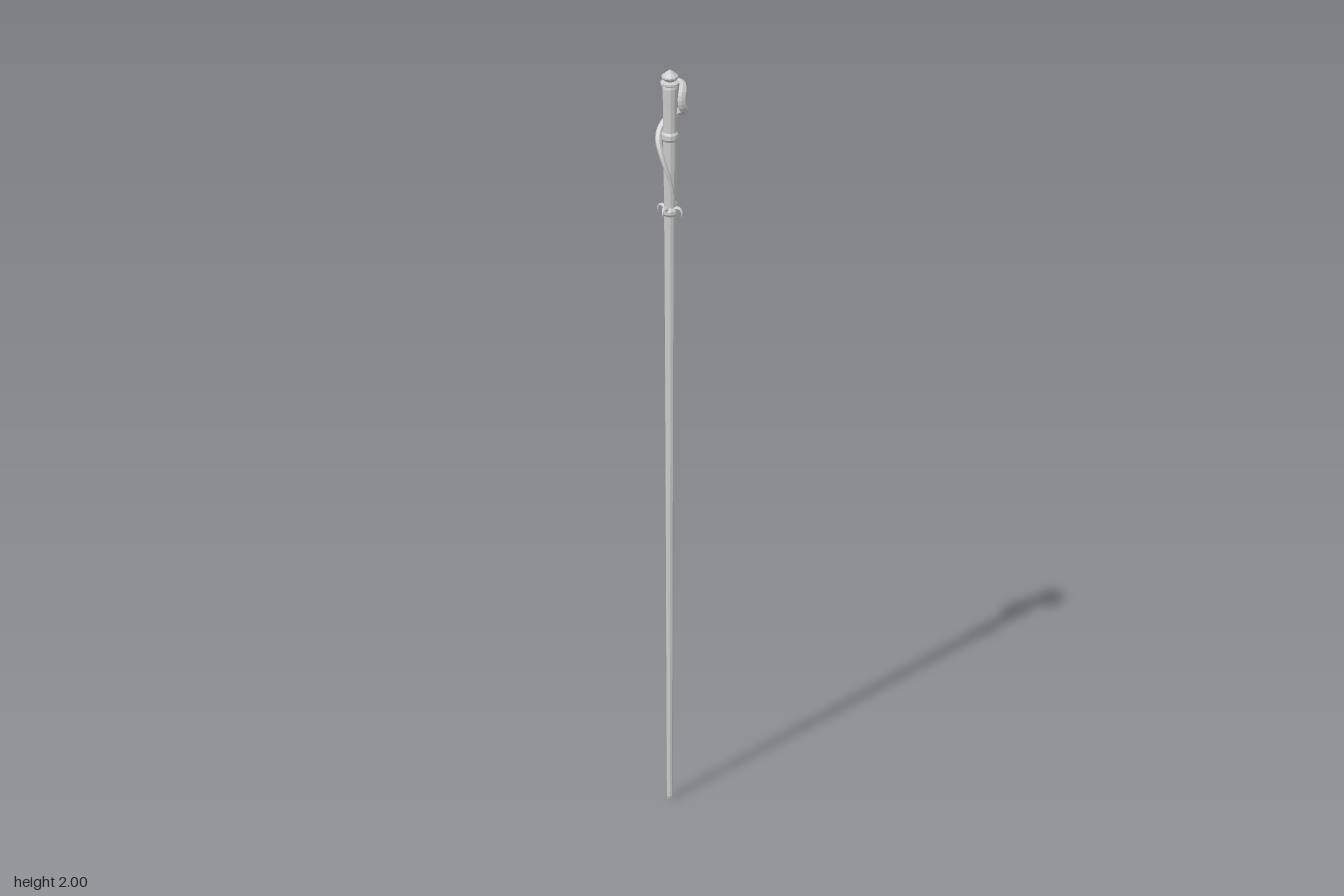
import * as THREE from 'three';

const material = new THREE.MeshStandardMaterial({ color: 0xcccccc, flatShading: true, side: THREE.DoubleSide });

function add(parent, name, geometry) {
  const mesh = new THREE.Mesh(geometry, material);
  mesh.name = name;
  parent.add(mesh);
  return mesh;
}

// Turned part from [radius, height] pairs
function turned(parent, name, profile, sides = 10) {
  return add(parent, name, new THREE.LatheGeometry(profile.map(([r, y]) => new THREE.Vector2(r, y)), sides));
}

// Tube whose radius follows radiusAt(t) along the curve
function taperedTube(curve, segments, sides, radiusAt) {
  const geometry = new THREE.TubeGeometry(curve, segments, 1, sides);
  const pos = geometry.attributes.position;
  const v = new THREE.Vector3();
  for (let i = 0; i <= segments; i++) {
    const t = i / segments;
    const centre = curve.getPointAt(t);
    for (let j = 0; j <= sides; j++) {
      const k = i * (sides + 1) + j;
      v.fromBufferAttribute(pos, k).sub(centre).multiplyScalar(radiusAt(t)).add(centre);
      pos.setXYZ(k, v.x, v.y, v.z);
    }
  }
  geometry.computeVertexNormals();
  return geometry;
}

export function createModel() {
  const model = new THREE.Group();
  model.name = 'wand';
  const axis = new THREE.Group();
  axis.name = 'wandBody';
  axis.position.set(-0.006, 0, 0.003);
  model.add(axis);

  // Long shaft, tapering towards a blunt foot
  turned(axis, 'shaft', [
    [0, 0], [0.006, 0.001], [0.008, 0.008], [0.0095, 0.4], [0.0115, 0.9], [0.0135, 1.35], [0.015, 1.61],
  ]);

  // Handle with collars at the base and the middle
  turned(axis, 'handle', [
    [0.015, 1.6], [0.021, 1.607], [0.021, 1.616], [0.015, 1.624], [0.015, 1.64],
    [0.017, 1.72], [0.0175, 1.805], [0.022, 1.812], [0.022, 1.824], [0.0175, 1.83],
    [0.018, 1.9], [0.02, 1.95], [0.016, 1.962],
  ]);

  // Faceted pommel
  turned(axis, 'pommel', [
    [0.016, 1.955], [0.025, 1.96], [0.025, 1.966], [0.014, 1.97], [0.022, 1.979], [0.022, 1.983], [0.009, 1.994], [0, 2],
  ]);

  // Four guard prongs that curl out and down
  const prongCurve = new THREE.CatmullRomCurve3([
    [0.012, 1.617], [0.022, 1.624], [0.031, 1.622], [0.036, 1.612], [0.034, 1.603],
  ].map(([r, y]) => new THREE.Vector3(r, y, 0)));
  const prongGeometry = taperedTube(prongCurve, 8, 6, t => 0.0062 * (1 - t) + 0.0008);
  for (let i = 0; i < 4; i++) add(axis, 'guardProng', prongGeometry).rotation.y = i * Math.PI / 2;

  // Serpentine vine: [angle from +x towards +z in degrees, distance, height]
  const path = [
    [205, 0.021, 1.957], [245, 0.024, 1.961], [285, 0.027, 1.963], [325, 0.031, 1.961],
    [357, 0.037, 1.951], [371, 0.04, 1.93], [365, 0.04, 1.908], [335, 0.038, 1.891],
    [300, 0.036, 1.88], [265, 0.034, 1.867], [225, 0.033, 1.85], [190, 0.032, 1.828],
    [155, 0.029, 1.802], [120, 0.024, 1.77], [90, 0.021, 1.738], [55, 0.018, 1.7], [20, 0.015, 1.655],
  ].map(([deg, r, y]) => {
    const a = THREE.MathUtils.degToRad(deg);
    return new THREE.Vector3(r * Math.cos(a), y, r * Math.sin(a));
  });
  const thickness = t => t < 0.15
    ? THREE.MathUtils.lerp(0.004, 0.01, t / 0.15)
    : THREE.MathUtils.lerp(0.0112, 0.003, Math.max(0, (t - 0.5) / 0.5));
  add(axis, 'coiledVine', taperedTube(new THREE.CatmullRomCurve3(path), 48, 6, thickness));

  return model;
}
